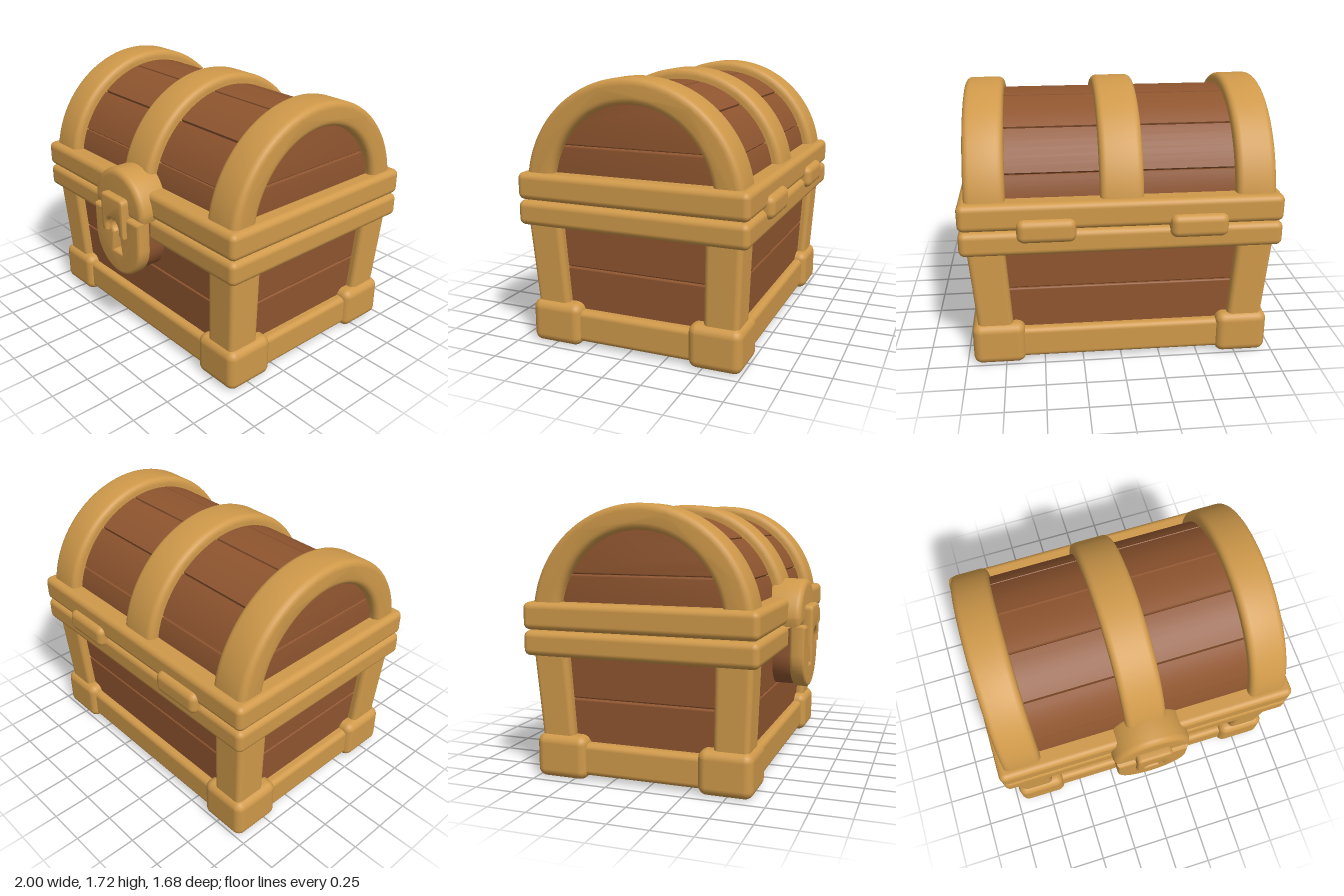
import * as THREE from 'three';
import { toCreasedNormals } from 'three/addons/utils/BufferGeometryUtils.js';
import { RoundedBoxGeometry } from 'three/addons/geometries/RoundedBoxGeometry.js';

const ZC = -0.045; // middle of the chest body in z

export function createModel() {
  const chest = new THREE.Group();
  chest.name = 'treasureChest';
  const material = (name, color) => {
    const m = new THREE.MeshStandardMaterial({ color });
    m.name = name;
    return m;
  };
  const gold = material('gold trim', 0xcf994a);
  const wood = material('brown wood', 0x8f552f);
  const dark = material('dark keyhole', 0x3f2410);

  const add = (name, geometry, mat) => {
    const mesh = new THREE.Mesh(geometry, mat);
    mesh.name = name;
    chest.add(mesh);
    return mesh;
  };

  // Rounded box given by its limits on each axis
  const box = ([x0, x1], [y0, y1], [z0, z1], r) =>
    new RoundedBoxGeometry(x1 - x0, y1 - y0, z1 - z0, 4, r)
      .translate((x0 + x1) / 2, (y0 + y1) / 2, (z0 + z1) / 2);

  // Narrows the lower body towards the floor
  const taper = (g) => {
    const p = g.attributes.position;
    for (let i = 0; i < p.count; i++) {
      const s = 1 + 0.075 * (p.getY(i) - 0.8);
      p.setX(i, p.getX(i) * s);
      p.setZ(i, ZC + (p.getZ(i) - ZC) * s);
    }
    return g;
  };

  // Extruded slab from z0 to z1 with rounded edges inside the outline
  const slab = (shape, z0, z1, b) => {
    const g = new THREE.ExtrudeGeometry(shape, {
      depth: z1 - z0 - 2 * b, bevelEnabled: b > 0, bevelThickness: b, bevelSize: b,
      bevelOffset: -b, bevelSegments: 4, curveSegments: 28,
    });
    return toCreasedNormals(g.translate(0, 0, z0 + b), 0.6);
  };
  // The same slab turned to run along x
  const crossSlab = (shape, x0, x1, b) =>
    slab(shape, x0, x1, b).rotateY(Math.PI / 2).translate(0, 0, ZC);

  // Lower body: two courses of planks per side
  add('lowerBodyPlank', taper(box([-0.9, 0.9], [0.15, 0.513], [ZC - 0.65, ZC + 0.65], 0.012)), wood);
  add('upperBodyPlank', taper(box([-0.9, 0.9], [0.517, 0.85], [ZC - 0.65, ZC + 0.65], 0.012)), wood);

  // Bottom planks
  for (let i = 0; i < 4; i++) {
    const z = ZC - 0.5 + i * 0.25;
    add('bottomPlank', box([-0.8, 0.8], [0.07, 0.18], [z + 0.003, z + 0.247], 0.012), wood);
  }

  // Base beams, corner posts and feet
  for (const s of [-1, 1]) {
    const span = (a, b, c = 0) => (s > 0 ? [c + a, c + b] : [c - b, c - a]);
    add('longBaseBeam', box([-0.85, 0.85], [0.03, 0.237], span(0.46, 0.675, ZC), 0.035), gold);
    add('sideBaseBeam', box(span(0.71, 0.925), [0.03, 0.237], [ZC - 0.62, ZC + 0.62], 0.035), gold);
    for (const t of [-1, 1]) {
      const zs = (a, b) => (t > 0 ? [ZC + a, ZC + b] : [ZC - b, ZC - a]);
      add('cornerPost', taper(box(span(0.725, 0.958), [0.15, 0.85], zs(0.475, 0.705), 0.035)), gold);
      add('cornerFoot', box(span(0.622, 0.957), [0.003, 0.282], zs(0.365, 0.707), 0.055), gold);
    }
  }

  // Rims of the body and the lid
  add('bodyRim', box([-1, 1], [0.788, 0.945], [-0.8, 0.705], 0.04), gold);
  add('lidRim', box([-1, 1], [0.95, 1.122], [-0.8, 0.705], 0.04), gold);

  // Barrel lid with grooves between the planks
  const R = 0.642, Y = 1.01;
  const seams = [-86, -67, -40, -12, 12, 40, 67, 86].map(THREE.MathUtils.degToRad);
  const profile = [];
  const polar = (a, r) => profile.push(new THREE.Vector2(Math.sin(a) * r, Y + Math.cos(a) * r));
  for (let i = 0; i < seams.length - 1; i++) {
    polar(seams[i], R - 0.02);
    for (let k = 0; k <= 6; k++) {
      polar(THREE.MathUtils.lerp(seams[i] + 0.01, seams[i + 1] - 0.01, k / 6), R);
    }
  }
  polar(seams[seams.length - 1], R - 0.02);
  add('lidPlanks', crossSlab(new THREE.Shape(profile), -0.87, 0.87, 0), wood);

  // End panels of the lid: lower plank and domed upper plank
  const seamY = 1.295, panelR = 0.61;
  const a = Math.asin((seamY - Y) / panelR);
  const dome = new THREE.Shape();
  dome.absarc(0, Y, panelR, a, Math.PI - a, false);
  dome.closePath();
  const lower = new THREE.Shape();
  lower.moveTo(-0.6, 1.03);
  lower.lineTo(0.6, 1.03);
  lower.lineTo(panelR * Math.cos(a), seamY - 0.003);
  lower.lineTo(-panelR * Math.cos(a), seamY - 0.003);
  lower.closePath();
  add('lidEndDome', crossSlab(dome, -0.895, 0.895, 0.012), wood);
  add('lidEndPlank', crossSlab(lower, -0.895, 0.895, 0.012), wood);

  // Arched bands over the lid
  const arch = new THREE.Shape();
  arch.absarc(0, Y, 0.71, 0, Math.PI, false);
  arch.lineTo(-0.53, Y);
  arch.absellipse(0, Y, 0.53, 0.555, Math.PI, 0, true);
  arch.closePath();
  for (const [name, x0, x1] of [['rightLidBand', -0.957, -0.708], ['middleLidBand', -0.135, 0.135], ['leftLidBand', 0.708, 0.957]]) {
    add(name, crossSlab(arch, x0, x1, 0.04), gold);
  }

  // Upper lock plate
  const upper = new THREE.Shape();
  upper.moveTo(-0.25, 0.935);
  upper.lineTo(0.25, 0.935);
  upper.lineTo(0.265, 0.985);
  upper.absarc(0, 0.967, 0.264, 0.07, Math.PI - 0.07, false);
  upper.closePath();
  add('upperLockPlate', slab(upper, 0.55, 0.79, 0.04), gold);

  // Lower lock plate with a keyhole
  const shield = (r, top) => {
    const s = new THREE.Shape();
    s.moveTo(r, top);
    s.lineTo(-r, top);
    s.lineTo(-r, 0.75);
    s.absarc(0, 0.75, r, Math.PI, Math.PI * 2, false);
    s.closePath();
    return s;
  };
  const plate = shield(0.245, 0.935);
  const keyhole = new THREE.Path();
  keyhole.moveTo(-0.045, 0.66);
  keyhole.lineTo(0.045, 0.66);
  keyhole.lineTo(0.026, 0.79);
  keyhole.absarc(0, 0.84, 0.052, -1.05, Math.PI + 1.05, false);
  keyhole.closePath();
  plate.holes.push(keyhole);
  add('lowerLockPlate', slab(plate, 0.715, 0.81, 0.02), gold);
  add('lockBacking', slab(shield(0.232, 0.92), 0.55, 0.725, 0.01), wood);
  add('keyholeRecess', box([-0.09, 0.09], [0.62, 0.92], [0.722, 0.731], 0.002), dark);

  // Hasp straddling the keyhole
  const hasp = new THREE.Shape();
  hasp.moveTo(-0.12, 0.8);
  hasp.lineTo(-0.068, 0.8);
  hasp.lineTo(-0.068, 0.84);
  hasp.absarc(0, 0.84, 0.068, Math.PI, 0, true);
  hasp.lineTo(0.068, 0.8);
  hasp.lineTo(0.12, 0.8);
  hasp.lineTo(0.12, 1.03);
  hasp.quadraticCurveTo(0.12, 1.065, 0.085, 1.065);
  hasp.lineTo(-0.085, 1.065);
  hasp.quadraticCurveTo(-0.12, 1.065, -0.12, 1.03);
  hasp.closePath();
  add('hasp', slab(hasp, 0.75, 0.842, 0.018), gold);

  // Hinges at the back
  for (const x of [-0.467, 0.467]) {
    add('hinge', box([x - 0.18, x + 0.18], [0.88, 1.028], [-0.842, -0.7], 0.045), gold);
  }
  return chest;
}
